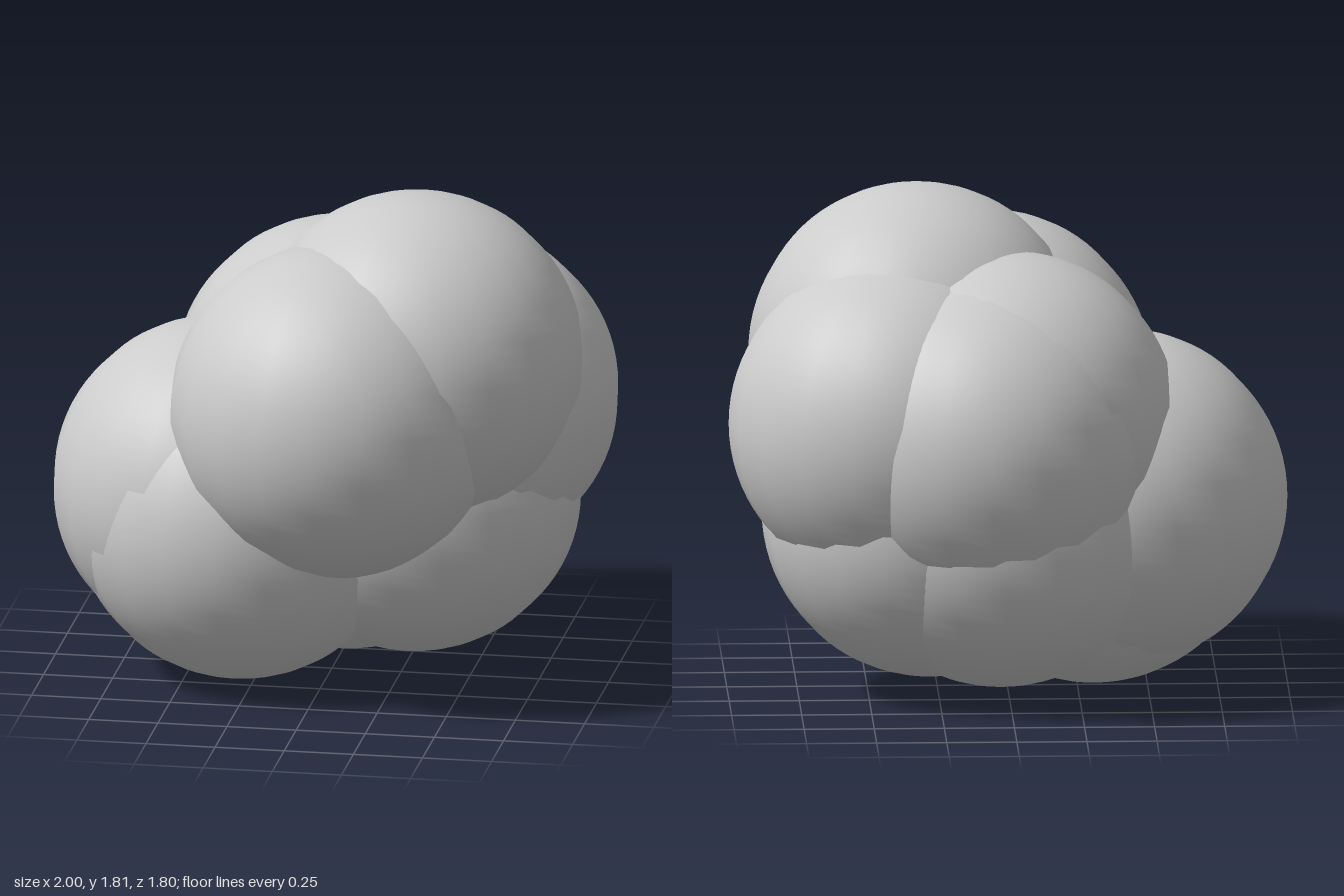
import * as THREE from 'three';

const RADIUS = 0.6;

// Lobe centres of the cluster
const LOBES = {
  lowerLeftLobe: [-0.31, 0.6, 0.09],
  outerLeftLobe: [-0.4, 0.68, 0.02],
  frontLobe: [0.07, 1.06, 0.3],
  topLobe: [0.32, 1.205, 0.09],
  outerRightLobe: [0.4, 1.0, -0.19],
  lowerRightLobe: [0.28, 0.67, -0.12],
  lowerBackLobe: [0.03, 0.645, -0.19],
  backLobe: [0.08, 0.95, -0.3],
  upperBackLobe: [0, 1.01, -0.2],
};

export function createModel() {
  const group = new THREE.Group();
  group.name = 'lobedCluster';
  const material = new THREE.MeshStandardMaterial({ color: 0xcccccc });
  // Twenty sides around, finer rings from pole to pole
  const geometry = new THREE.SphereGeometry(RADIUS, 20, 40);

  for (const [name, centre] of Object.entries(LOBES)) {
    const lobe = new THREE.Mesh(geometry, material);
    lobe.name = name;
    lobe.position.set(...centre);
    group.add(lobe);
  }
  return group;
}
